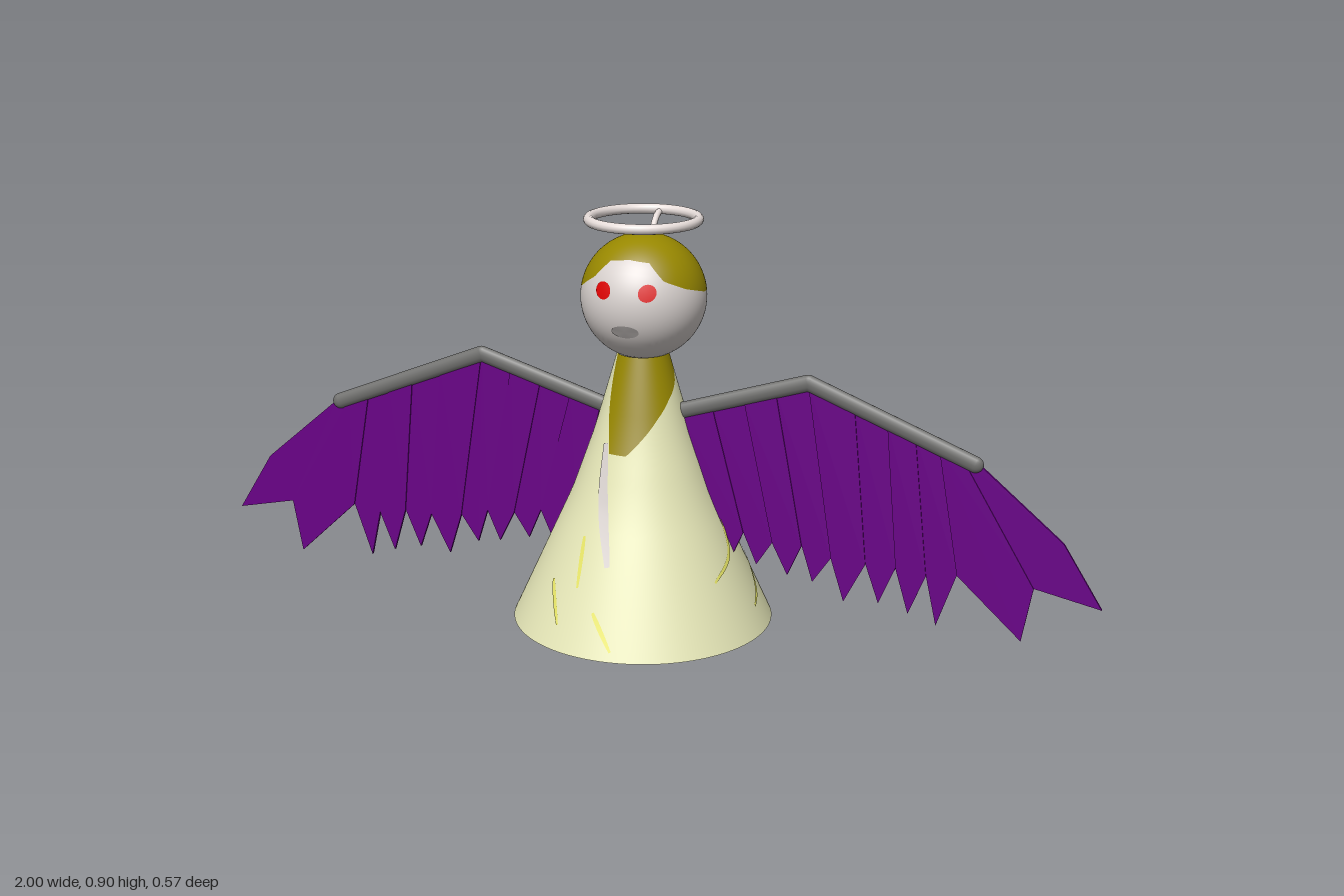
import * as THREE from 'three';

const paint = (name, color, side = THREE.FrontSide) => {
  const m = new THREE.MeshStandardMaterial({ color, side });
  m.name = name;
  return m;
};
const rad = THREE.MathUtils.degToRad;

// Linear interpolation in a table of [key, value] pairs
function lookup(table, k) {
  if (k <= table[0][0]) return table[0][1];
  for (let i = 1; i < table.length; i++) {
    const [a, va] = table[i - 1], [b, vb] = table[i];
    if (k <= b) return va + (vb - va) * (k - a) / (b - a);
  }
  return table[table.length - 1][1];
}

// Band of a surface of revolution between two curves lo(az) and hi(az).
// profile(t) gives [radius, y]; az is measured from the front towards +x.
function band(profile, lo, hi, h, cols = 144, rows = 20) {
  const pos = [], nor = [], idx = [];
  for (let i = 0; i <= cols; i++) {
    const deg = -180 + 360 * i / cols, s = Math.sin(rad(deg)), c = Math.cos(rad(deg));
    for (let j = 0; j <= rows; j++) {
      const t = lo(deg) + (hi(deg) - lo(deg)) * j / rows;
      const [r, y] = profile(t), a = profile(t - h), b = profile(t + h);
      const n = new THREE.Vector2(b[1] - a[1], a[0] - b[0]).normalize();
      pos.push(r * s, y, r * c);
      nor.push(n.x * s, n.y, n.x * c);
      if (i < cols && j < rows) {
        const p = i * (rows + 1) + j, q = p + rows + 1;
        idx.push(p, q, q + 1, p, q + 1, p + 1);
      }
    }
  }
  const g = new THREE.BufferGeometry();
  g.setAttribute('position', new THREE.Float32BufferAttribute(pos, 3));
  g.setAttribute('normal', new THREE.Float32BufferAttribute(nor, 3));
  g.setIndex(idx);
  return g;
}

// Body cone radius by height, extended past both ends
const BODY = [[-0.2, 0.378], [0, 0.287], [0.29, 0.155], [0.43, 0.105], [0.6, 0.056], [0.8, 0]];
const bodyProfile = y => [lookup(BODY, y), y];
const COLLAR = [[-56, 0.602], [-20, 0.4], [0, 0.4], [20, 0.44], [38, 0.475], [60, 0.51], [90, 0.545], [120, 0.602]];

const R = 0.135, HEAD_Y = 0.724;
const headProfile = t => [R * Math.cos(t), R * Math.sin(t)];
const HAIRLINE = [[-180, 0.645], [-150, 0.65], [-138, 0.72], [-90, 0.738], [-60, 0.752], [-38, 0.78], [-25, 0.815],
  [0, 0.82], [25, 0.815], [38, 0.78], [60, 0.76], [90, 0.742], [148, 0.73], [155, 0.66], [180, 0.645]];

// Painted stroke lying on the body, through [azimuth, height] points
function stroke(points, width) {
  const curve = new THREE.CatmullRomCurve3(points.map(([d, y]) => {
    const r = lookup(BODY, y) + 0.0025;
    return new THREE.Vector3(r * Math.sin(rad(d)), y, r * Math.cos(rad(d)));
  }));
  const pos = [], idx = [], n = 16;
  for (let i = 0; i <= n; i++) {
    const p = curve.getPoint(i / n), t = curve.getTangent(i / n);
    const across = new THREE.Vector3(p.x, 0, p.z).normalize().cross(t).normalize();
    const w = width * (0.25 + 0.25 * Math.sin(Math.PI * i / n));
    for (const s of [-1, 1]) {
      const e = p.clone().addScaledVector(across, s * w);
      const k = (lookup(BODY, e.y) + 0.0025) / Math.hypot(e.x, e.z);
      pos.push(e.x * k, e.y, e.z * k);
    }
    if (i < n) idx.push(2 * i, 2 * i + 1, 2 * i + 3, 2 * i, 2 * i + 3, 2 * i + 2);
  }
  const g = new THREE.BufferGeometry();
  g.setAttribute('position', new THREE.Float32BufferAttribute(pos, 3));
  g.setIndex(idx);
  g.computeVertexNormals();
  return g;
}

// Oval painted on the front of the head
function faceSpot(x, y, rx, ry) {
  const g = new THREE.CircleGeometry(1, 24);
  g.scale(rx, ry, 1).translate(x, y, 0);
  const p = g.attributes.position;
  for (let i = 0; i < p.count; i++) p.setZ(i, Math.sqrt(R * R - p.getX(i) ** 2 - p.getY(i) ** 2) + 0.002);
  g.computeVertexNormals();
  return g;
}

// Disc facing down
const disc = (r, x, y, z) => new THREE.CircleGeometry(r, 48).rotateX(Math.PI / 2).translate(x, y, z);

// Wing outline, from the outer feather inwards
const SPAR = [[0.09, 0.477], [0.37, 0.564], [0.725, 0.422]];
const ROOTS = [0.735, 0.7, 0.65, 0.6, 0.54, 0.47, 0.37, 0.3, 0.23, 0.16, 0.09];
const TIPS = [[1, 0.135], [0.84, 0.045], [0.66, 0.055], [0.6, 0.075], [0.535, 0.09],
  [0.46, 0.085], [0.39, 0.12], [0.335, 0.13], [0.265, 0.145], [0.2, 0.135]];
const NOTCHES = [[0.915, 0.27], [0.86, 0.165], [0.7, 0.175], [0.635, 0.165], [0.57, 0.175], [0.505, 0.175],
  [0.43, 0.18], [0.365, 0.2], [0.3, 0.2], [0.235, 0.215], [0.15, 0.25]];

export function createModel() {
  const model = new THREE.Group();
  const pale = paint('pale skin', 0xdad3d0, THREE.DoubleSide);
  const haloWhite = paint('halo white', 0xe8dedb);
  const olive = paint('olive hair', 0x988800);
  const cream = paint('cream dress', 0xe6e7b8);
  const purple = paint('purple feathers', 0x690087);
  const grey = paint('grey spar', 0x70706e);
  const baseGrey = paint('grey base', 0xa8a8a8);
  const red = paint('red', 0xde0000);
  const yellow = paint('yellow strokes', 0xe9e768, THREE.DoubleSide);
  const mouthGrey = paint('grey mouth', 0xa39e9c);
  const add = (name, geometry, material, parent) => {
    const mesh = new THREE.Mesh(geometry, material);
    mesh.name = name;
    parent.add(mesh);
    return mesh;
  };
  const figure = new THREE.Group();
  figure.name = 'figure';
  figure.position.x = 0.005;
  model.add(figure);

  // Dress and collar share one cone
  const collarEdge = d => lookup(COLLAR, d);
  add('dress', band(bodyProfile, () => 0, collarEdge, 0.05), cream, figure);
  add('collar', band(bodyProfile, collarEdge, () => 0.602, 0.05), olive, figure);
  add('dressStreak', stroke([[-27, 0.42], [-15, 0.3], [-3, 0.18]], 0.024), pale, figure);
  [
    [[90, 0.25], [82, 0.18], [61, 0.135]],
    [[114, 0.15], [97, 0.08], [86, 0.055]],
    [[126, 0.37], [117, 0.32], [108, 0.28]],
    [[160, 0.13], [153, 0.09]],
    [[-38, 0.13], [-25, 0.05]],
    [[-24, 0.23], [-19, 0.13]],
    [[-7, 0.09], [4, 0.02]],
  ].forEach(points => add('dressStroke', stroke(points, 0.01), yellow, figure));

  // Underside with spots, given as [x, z, radius]; the big ones have a dark rim
  add('base', disc(0.286, 0, 0.003, 0), baseGrey, figure);
  [[0.138, 0.022, 0.068], [-0.158, -0.016, 0.073], [0.112, -0.163, 0.03], [-0.095, -0.18, 0.03],
    [0.117, 0.2, 0.03], [0.045, 0.13, 0.03], [-0.076, 0.127, 0.03], [-0.167, 0.167, 0.03]].forEach(([x, z, r]) => {
    add('baseSpot', disc(r, x, 0, z), red, figure);
    if (r > 0.05) add('spotRim', disc(r + 0.02, x, 0.0015, z), grey, figure);
  });

  // Head: skin below the hairline, hair above it
  const head = new THREE.Group();
  head.name = 'head';
  head.position.set(0, HEAD_Y, -0.005);
  figure.add(head);
  const hairEdge = d => Math.asin((lookup(HAIRLINE, d) - HEAD_Y) / R);
  add('face', band(headProfile, () => -Math.PI / 2, hairEdge, 0.01), pale, head);
  add('hair', band(headProfile, hairEdge, () => Math.PI / 2, 0.01), olive, head);
  for (const s of [-1, 1]) add('eye', faceSpot(s * 0.048, 0.034, 0.018, 0.018), red, head);
  add('mouth', faceSpot(0, -0.051, 0.03, 0.014), mouthGrey, head);

  // Halo and its curved stem
  const ring = new THREE.TorusGeometry(0.116, 0.011, 12, 48).rotateX(Math.PI / 2).translate(0, 0.889, -0.003);
  add('halo', ring, haloWhite, figure);
  const stem = new THREE.CatmullRomCurve3([[0.835, -0.055], [0.858, -0.068], [0.878, -0.09], [0.887, -0.117]]
    .map(([y, z]) => new THREE.Vector3(0, y, z)));
  add('haloStem', new THREE.TubeGeometry(stem, 16, 0.007, 10), haloWhite, figure);

  // Wings: bent spar with a row of flat feathers
  for (const s of [1, -1]) {
    const wing = new THREE.Group();
    wing.name = s > 0 ? 'leftWing' : 'rightWing';
    model.add(wing);
    for (let i = 0; i < 2; i++) {
      const [a, b] = [SPAR[i], SPAR[i + 1]];
      const dx = s * (b[0] - a[0]), dy = b[1] - a[1];
      const g = new THREE.CapsuleGeometry(0.018, Math.hypot(dx, dy), 6, 16);
      g.rotateZ(Math.atan2(-dx, dy)).scale(1, 1, 0.65);
      g.translate(s * (a[0] + b[0]) / 2, (a[1] + b[1]) / 2, 0);
      add('spar', g, grey, wing);
    }
    TIPS.forEach((tip, i) => {
      const root = k => [ROOTS[k], lookup(SPAR, ROOTS[k])];
      const outline = [root(i), NOTCHES[i], tip, NOTCHES[i + 1], root(i + 1)];
      const shape = new THREE.Shape(outline.map(([x, y]) => new THREE.Vector2(s * x, y)));
      const g = new THREE.ExtrudeGeometry(shape, { depth: 0.007, bevelEnabled: false });
      add('feather', g.translate(0, 0, -0.0035 + (i % 2 ? 0.0015 : -0.0015)), purple, wing);
    });
  }
  return model;
}
